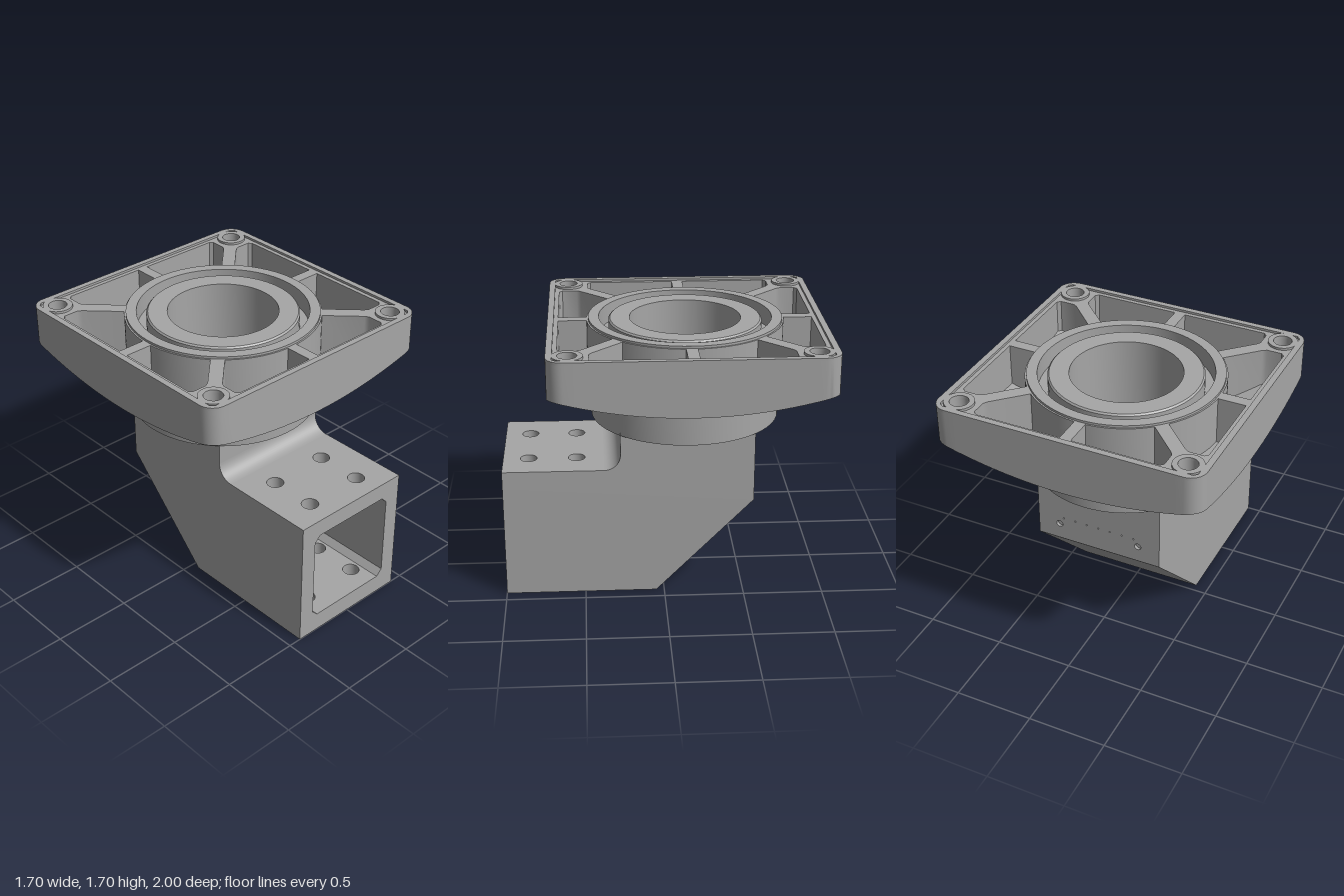
import * as THREE from 'three';
import { toCreasedNormals } from 'three/addons/utils/BufferGeometryUtils.js';

const V = (x, y) => new THREE.Vector2(x, y);
const grey = new THREE.MeshStandardMaterial({ color: 0xa6a6a6 });
grey.name = 'castGrey';

const HALF = 0.85, BOLT = 0.725, BOLT_R = 0.058, BORE = 0.345, W = 0.415, CAV = 0.31;

function add(parent, name, geometry) {
  const mesh = new THREE.Mesh(geometry, grey);
  mesh.name = name;
  parent.add(mesh);
  return mesh;
}
function circle(x, y, r, n = 32) {
  const pts = [];
  for (let i = 0; i < n; i++) {
    const a = (i / n) * Math.PI * 2;
    pts.push(V(x + r * Math.cos(a), y + r * Math.sin(a)));
  }
  return pts;
}
function arc(cx, cy, r, a0, a1, n) {
  const pts = [];
  for (let i = 0; i <= n; i++) {
    const a = a0 + ((a1 - a0) * i) / n;
    pts.push(V(cx + r * Math.cos(a), cy + r * Math.sin(a)));
  }
  return pts;
}
const rect = (x0, y0, x1, y1) => [V(x0, y0), V(x1, y0), V(x1, y1), V(x0, y1)];

function extrude(points, holes, depth) {
  const shape = new THREE.Shape(points);
  for (const h of holes) shape.holes.push(new THREE.Path(h));
  return new THREE.ExtrudeGeometry(shape, { depth, bevelEnabled: false });
}
// Horizontal plate: outline given in x and -z, rising from y0 to y1
const slab = (points, holes, y0, y1) =>
  toCreasedNormals(extrude(points, holes, y1 - y0).rotateX(-Math.PI / 2).translate(0, y0, 0), 0.6);
// Side profile: [z, y] points extruded along x
const profile = (zy, x0, x1) =>
  toCreasedNormals(extrude(zy.map(([z, y]) => V(-z, y)), [], x1 - x0)
    .rotateY(Math.PI / 2).translate(x0, 0, 0), 0.6);

// One quarter of the rounded square flange edge, finely divided
function quarterEdge() {
  const pts = [], n = 12, c = HALF - 0.1;
  for (let i = 0; i < n; i++) pts.push(V(HALF, (c * i) / n));
  pts.push(...arc(c, c, 0.1, 0, Math.PI / 2, 8));
  for (let i = 1; i < n; i++) pts.push(V(c * (1 - i / n), HALF));
  return pts;
}
const turn = (p, k) => {
  let q = p.clone();
  for (let i = 0; i < k; i++) q = V(-q.y, q.x);
  return q;
};
// Height of the dished flange underside
const under = (x, z) => 1.3 + 0.17 * Math.max(0, x * x + z * z - 0.43);

// Quarter of the dished surface, lofted from bolt hole to quarter boundary
function dishQuarter(lift, faceUp) {
  const edge = [...quarterEdge(), V(0, HALF)];
  for (let i = 1; i <= 6; i++) edge.push(V(0, HALF - (0.27 * i) / 6));
  edge.push(...arc(0, 0, 0.58, Math.PI / 2, 0, 24).slice(1));
  for (let i = 1; i < 6; i++) edge.push(V(0.58 + (0.27 * i) / 6, 0));
  const n = edge.length, rings = 10, pos = [], idx = [];
  const c = V(BOLT, BOLT);
  for (let j = 0; j <= rings; j++) {
    for (const p of edge) {
      const start = p.clone().sub(c).setLength(BOLT_R).add(c);
      const q = start.lerp(p, j / rings);
      pos.push(q.x, under(q.x, q.y) + lift, q.y);
    }
  }
  for (let j = 0; j < rings; j++) {
    for (let i = 0; i < n; i++) {
      const a = j * n + i, d = j * n + ((i + 1) % n), b = a + n, e = d + n;
      if (faceUp) idx.push(a, e, b, a, d, e);
      else idx.push(a, b, e, a, e, d);
    }
  }
  const g = new THREE.BufferGeometry();
  g.setAttribute('position', new THREE.Float32BufferAttribute(pos, 3));
  g.setIndex(idx);
  g.computeVertexNormals();
  return g;
}

function buildFlange() {
  const flange = new THREE.Group();
  flange.name = 'flange';
  flange.position.z = -0.15;

  // Ribbed web with eight pockets, its lower edge following the dish
  const outline = [], bolts = [], pockets = [];
  const pocket = [V(0.035, 0.785), V(0.58, 0.785), V(0.6, 0.765), V(0.6, 0.67), V(0.585, 0.645),
    ...arc(0, 0, 0.61, Math.atan2(0.46, 0.4), Math.PI / 2 - 0.058, 14)];
  for (let k = 0; k < 4; k++) {
    outline.push(...quarterEdge().map((p) => turn(p, k)));
    const b = turn(V(BOLT, BOLT), k);
    bolts.push(b);
    pockets.push(pocket.map((p) => turn(p, k)), pocket.map((p) => turn(V(p.y, p.x), k)));
  }
  const boltHoles = bolts.map((b) => circle(b.x, b.y, BOLT_R));
  const web = extrude(outline, [circle(0, 0, 0.58, 64), ...boltHoles, ...pockets], 1).rotateX(-Math.PI / 2);
  const p = web.attributes.position;
  for (let i = 0; i < p.count; i++) {
    p.setY(i, p.getY(i) > 0.5 ? 1.685 : under(p.getX(i), p.getZ(i)));
  }
  add(flange, 'ribbedWeb', toCreasedNormals(web, 0.6));

  // Raised outer lip and bolt bosses
  const inner = 0.812;
  add(flange, 'rimLip', slab(outline, [rect(-0.69, -inner, 0.69, inner).length && [
    V(-0.69, -inner), V(0.69, -inner), V(inner, -0.69), V(inner, 0.69),
    V(0.69, inner), V(-0.69, inner), V(-inner, 0.69), V(-inner, -0.69)], ].map((h) => h), 1.684, 1.7)
    && slab(outline, [[...[0, 1, 2, 3].flatMap((k) => [V(inner, -0.79), V(inner, 0.79), V(0.79, inner)].map((q) => turn(q, k)))]], 1.684, 1.7));
  for (const b of bolts) {
    add(flange, 'boltBoss', slab(circle(b.x, b.y, 0.092), [circle(b.x, b.y, BOLT_R)], 1.684, 1.7));
  }

  // Dished underside and pocket floors
  const bottom = dishQuarter(0, false), floor = dishQuarter(0.08, true);
  for (let k = 0; k < 4; k++) {
    add(flange, 'dishedUnderside', bottom).rotation.y = (k * Math.PI) / 2;
    add(flange, 'pocketFloor', floor).rotation.y = (k * Math.PI) / 2;
  }

  // Collar, ring groove and central bore
  const ring = [[BORE, 0.985], [0.59, 1.07], [0.59, 1.35], [0.6, 1.35], [0.6, 1.7], [0.535, 1.7],
    [0.535, 1.58], [0.475, 1.58], [0.475, 1.68], [0.465, 1.69], [BORE, 1.69], [BORE, 0.985]];
  add(flange, 'collar', toCreasedNormals(
    new THREE.LatheGeometry(ring.map(([r, y]) => V(r, y)), 72), 0.5));
  return flange;
}

function buildBody() {
  const body = new THREE.Group();
  body.name = 'elbowBody';
  const screwHoles = [];
  for (const x of [-0.2, 0.2]) for (const z of [0.84, 0.54]) screwHoles.push(circle(x, -z, 0.053, 24));
  const bore = circle(0, 0.15, BORE, 72);

  // Side walls
  const side = [[1, 0], [1, 0.73], [-0.54, 0.73], [-0.54, 0.62], [-0.56, 0.62], [0.05, 0]];
  add(body, 'leftWall', profile(side, CAV, W));
  add(body, 'rightWall', profile(side, -W, -CAV));

  // Floor, slanted back and roof
  add(body, 'floor', slab(rect(-CAV, -1, CAV, -0.05), screwHoles, 0, 0.12));
  add(body, 'slantedBack', profile([[0.05, 0], [0.05, 0.12], [-0.47, 0.64], [-0.47, 0.73],
    [-0.54, 0.73], [-0.54, 0.62], [-0.56, 0.62]], -CAV, CAV));
  add(body, 'roof', slab(rect(-W, -1, W, 0.54), [bore, ...screwHoles], 0.73, 0.84));

  // Neck up into the collar, with its front fillet
  add(body, 'neck', slab(rect(-W, -0.27, W, 0.54), [bore], 0.84, 1.15));
  const fillet = arc(0.37, 0.94, 0.1, Math.PI, Math.PI * 1.5, 12).map((q) => [q.x, q.y]);
  add(body, 'neckFillet', profile([[0.27, 0.84], ...fillet], -W, W));

  // Back plate with two small screw holes and a row of pin holes
  const holes = [-0.27, 0.27].map((x) => circle(x, 0.73, 0.022, 16));
  for (let i = -3; i <= 3; i++) holes.push(circle(i * 0.08, 0.78, 0.005, 8));
  add(body, 'backPlate', toCreasedNormals(
    extrude(rect(-W, 0.62, W, 1.15), holes, 0.02).translate(0, 0, -0.56), 0.6));

  // Inner frame and the chamfered corners of the square socket
  add(body, 'innerFrame', extrude(rect(-CAV, 0.12, CAV, 0.73),
    [rect(-0.25, 0.17, 0.25, 0.68)], 0.08).translate(0, 0, 0.08));
  for (const sx of [-1, 1]) {
    for (const [y, sy] of [[0.12, 1], [0.73, -1]]) {
      const tri = [V(sx * CAV, y), V(sx * (CAV - 0.04), y), V(sx * CAV, y + sy * 0.04)];
      add(body, 'socketChamfer', extrude(tri, [], 0.84).translate(0, 0, 0.16));
    }
  }
  return body;
}

export function createModel() {
  const model = new THREE.Group();
  model.name = 'flangedElbowMount';
  model.add(buildFlange(), buildBody());
  return model;
}
